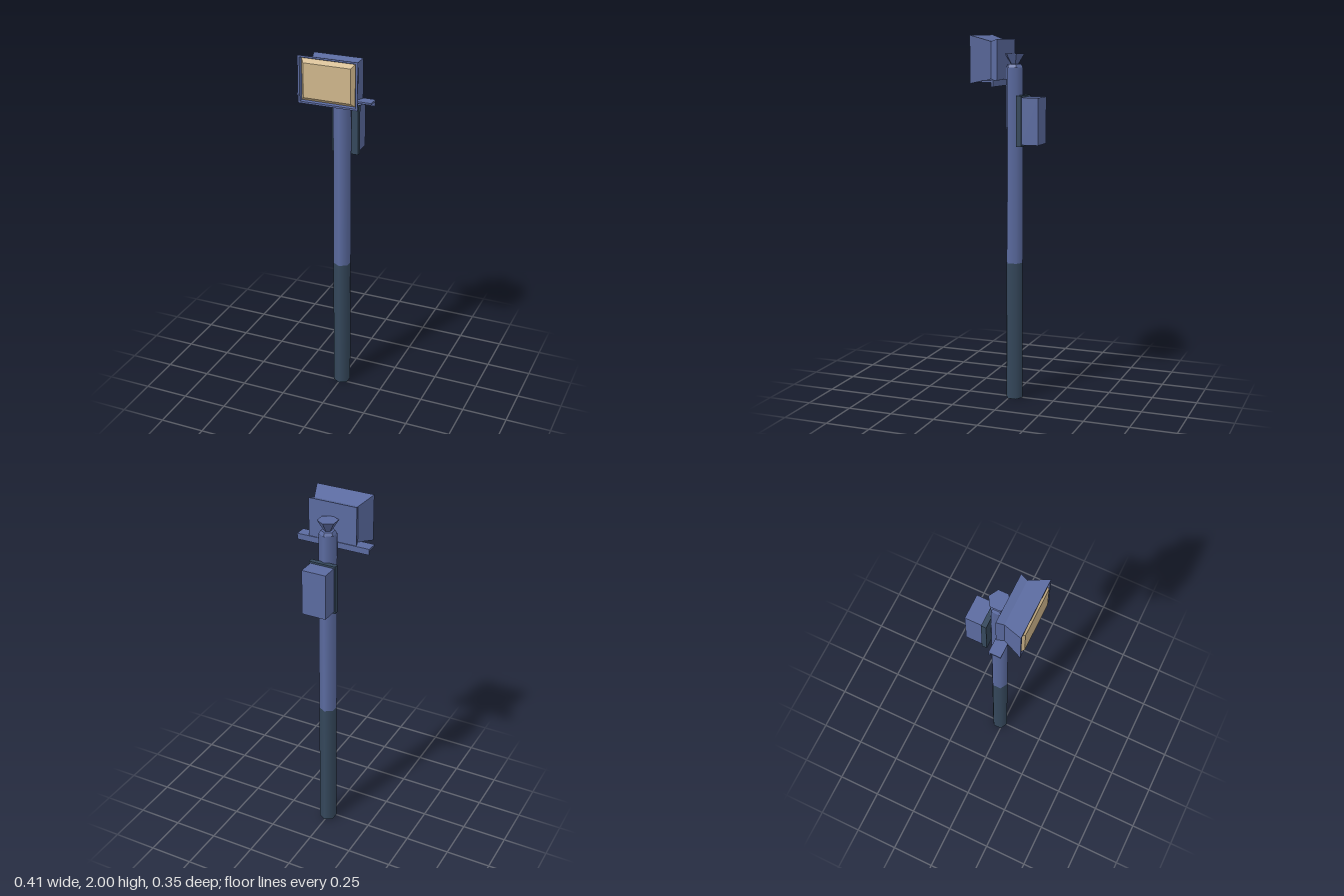
import * as THREE from 'three';

const material = (name, color) => {
  const m = new THREE.MeshStandardMaterial({ color });
  m.name = name;
  return m;
};

export function createModel() {
  const model = new THREE.Group();
  model.name = 'floodlightPost';
  const blue = material('blue paint', 0x5b6ba0);
  const dark = material('dark slate', 0x35485c);
  const tan = material('warm lamp glass', 0xd0b78c);

  const add = (name, geometry, mat) => {
    const mesh = new THREE.Mesh(geometry, mat);
    mesh.name = name;
    model.add(mesh);
    return mesh;
  };

  // Box given by its minimum and maximum on each axis
  const box = (name, mat, x0, x1, y0, y1, z0, z1) => {
    add(name, new THREE.BoxGeometry(x1 - x0, y1 - y0, z1 - z0), mat)
      .position.set((x0 + x1) / 2, (y0 + y1) / 2, (z0 + z1) / 2);
  };

  // Hexagonal post section between two heights
  const post = (name, mat, rTop, rBottom, y0, y1, open, flat) => {
    let g = new THREE.CylinderGeometry(rTop, rBottom, y1 - y0, 6, 1, open);
    if (flat) {
      g = g.toNonIndexed();
      g.computeVertexNormals();
    }
    add(name, g, mat).position.set(0.003, (y0 + y1) / 2, -0.022);
  };

  // Flat-faced loft through rectangles [halfWidth, yBottom, yTop, z], back to front
  const loft = (sections, capBack, capFront) => {
    const rings = sections.map(([w, y0, y1, z]) =>
      [[-w, y0, z], [w, y0, z], [w, y1, z], [-w, y1, z]]);
    const pos = [];
    const quad = (a, b, c, d) => pos.push(...a, ...b, ...c, ...a, ...c, ...d);
    for (let i = 0; i + 1 < rings.length; i++) {
      for (let k = 0; k < 4; k++) {
        const n = (k + 1) % 4;
        quad(rings[i][k], rings[i][n], rings[i + 1][n], rings[i + 1][k]);
      }
    }
    const back = rings[0], front = rings[rings.length - 1];
    if (capBack) quad(back[3], back[2], back[1], back[0]);
    if (capFront) quad(...front);
    const g = new THREE.BufferGeometry();
    g.setAttribute('position', new THREE.Float32BufferAttribute(pos, 3));
    g.computeVertexNormals();
    return g;
  };

  // Post: dark base, blue shaft, chamfered top and flared cap
  post('postBase', dark, 0.048, 0.048, 0, 0.77, false, false);
  post('postShaft', blue, 0.048, 0.048, 0.77, 1.83, true, false);
  post('postChamfer', blue, 0.037, 0.048, 1.83, 1.847, false, true);
  post('flaredCap', blue, 0.056, 0.02, 1.845, 1.903, false, true);

  // Control box on the back
  box('mountingPlate', dark, -0.072, 0.078, 1.413, 1.684, -0.086, -0.058);
  box('controlBox', blue, -0.065, 0.071, 1.423, 1.674, -0.178, -0.086);

  // Angle-section crossbar under the lamp
  box('crossbarShelf', blue, -0.209, 0.206, 1.758, 1.768, 0.022, 0.087);
  box('crossbarFlange', blue, -0.209, 0.206, 1.735, 1.758, 0.022, 0.032);

  // Lamp housing: flared back, waist, wide front rim and recess
  const housing = add('lampHousing', loft([
    [0.137, 1.763, 1.979, 0.026],
    [0.125, 1.772, 1.968, 0.065],
    [0.164, 1.748, 2.0, 0.168],
    [0.153, 1.758, 1.99, 0.168],
    [0.146, 1.763, 1.984, 0.152],
  ], true, true), blue);
  housing.position.x = 0.002;

  // Raised lamp glass with bevelled edges
  const glass = add('lampGlass', loft([
    [0.146, 1.763, 1.984, 0.153],
    [0.129, 1.782, 1.965, 0.175],
  ], false, true), tan);
  glass.position.x = 0.001;

  return model;
}
